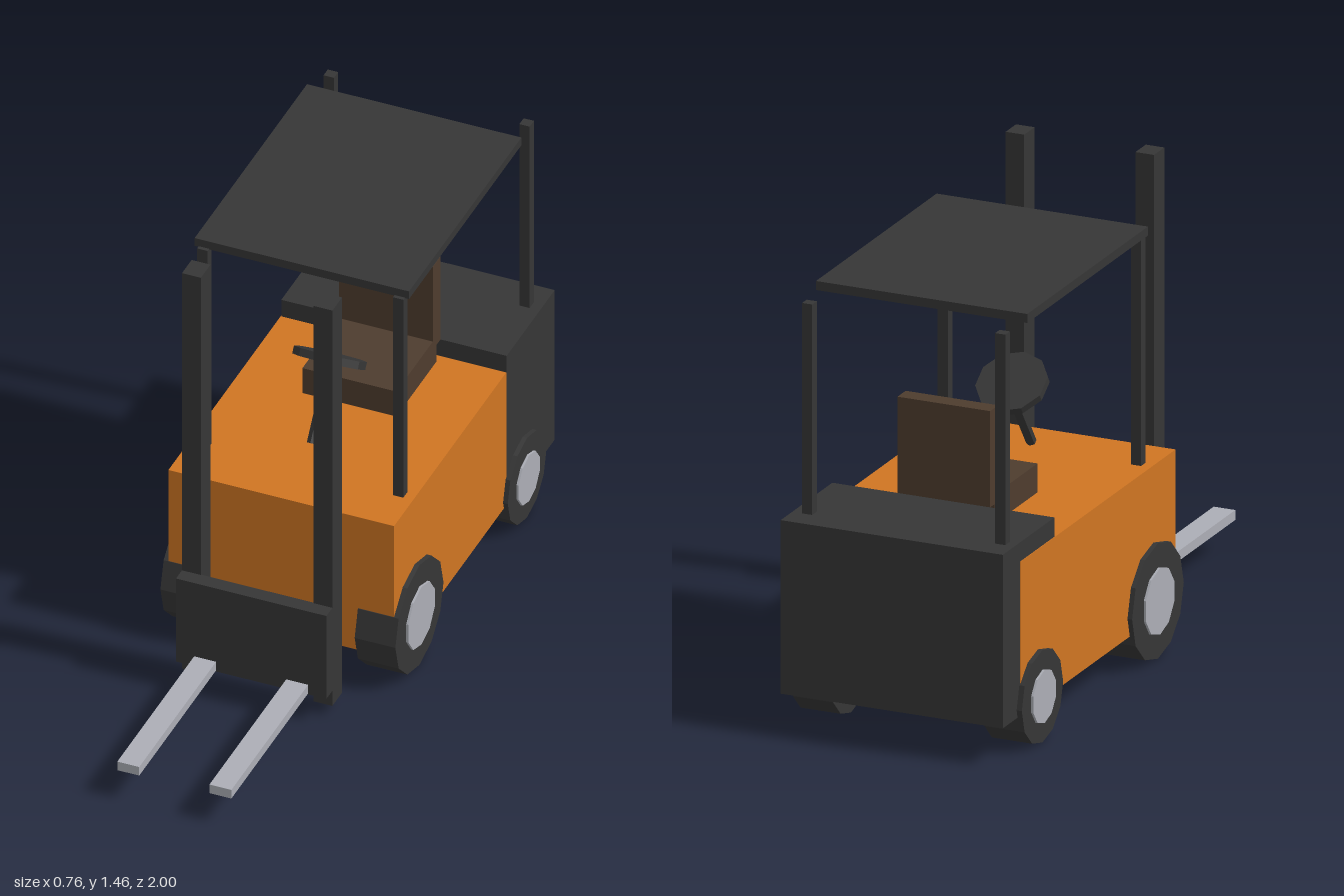
import * as THREE from 'three';

export function createModel() {
  const model = new THREE.Group();
  model.name = 'forklift';

  const mat = (name, color) => {
    const m = new THREE.MeshStandardMaterial({ color, flatShading: true });
    m.name = name;
    return m;
  };
  const orange = mat('orange paint', 0xd07522);
  const dark = mat('dark metal', 0x363636);
  const steel = mat('light steel', 0xacaeb6);
  const brown = mat('brown seat', 0x4e3c2e);

  const add = (name, geometry, material, x = 0, y = 0, z = 0) => {
    const mesh = new THREE.Mesh(geometry, material);
    mesh.name = name;
    mesh.position.set(x, y, z);
    model.add(mesh);
    return mesh;
  };

  // Box given by its limits on each axis
  const box = (name, material, [x0, x1], [y0, y1], [z0, z1]) =>
    add(name, new THREE.BoxGeometry(x1 - x0, y1 - y0, z1 - z0), material,
      (x0 + x1) / 2, (y0 + y1) / 2, (z0 + z1) / 2);

  // Chassis and counterweight (nudged so that their faces do not coincide)
  box('body', orange, [-0.36, 0.36], [0.12, 0.6], [-0.88, 0.2]);
  box('counterweight', dark, [-0.358, 0.361], [0.119, 0.66], [-1, -0.64]);

  // Seat
  box('seatCushion', brown, [-0.15, 0.15], [0.6, 0.69], [-0.61, -0.31]);
  box('seatBack', brown, [-0.15, 0.15], [0.66, 0.96], [-0.64, -0.583]);

  // Overhead guard
  box('roof', dark, [-0.342, 0.342], [1.314, 1.342], [-0.795, 0.046]);

  // Carriage plate between the masts
  box('carriage', dark, [-0.24, 0.24], [0.09, 0.39], [0.378, 0.425]);

  // Steering column and wheel
  const tilt = -0.61;
  const column = add('steeringColumn', new THREE.CylinderGeometry(0.016, 0.016, 0.26, 6),
    dark, 0, 0.752, -0.105);
  column.rotation.x = tilt;
  const steering = add('steeringWheel', new THREE.CylinderGeometry(0.11, 0.11, 0.024, 10),
    dark, 0, 0.868, -0.162);
  steering.rotation.x = tilt;

  // Tyre with a hub standing slightly proud on both sides
  const wheel = (name, x, z, radius, hubRadius) => {
    const tyre = add(name + 'Tyre', new THREE.CylinderGeometry(radius, radius, 0.13, 12),
      dark, x, radius, z);
    const hub = add(name + 'Hub',
      new THREE.CylinderGeometry(hubRadius, hubRadius, 0.144, 10, 1, false, Math.PI / 2),
      steel, x, radius, z);
    tyre.rotation.z = hub.rotation.z = Math.PI / 2;
  };

  // Mirrored parts
  for (const [side, s] of [['left', 1], ['right', -1]]) {
    const span = (a, b) => (s > 0 ? [a, b] : [-b, -a]);
    box(side + 'Mast', dark, span(0.18, 0.24), [0.035, 1.465], [0.308, 0.38]);
    box(side + 'Fork', steel, span(0.112, 0.182), [0.094, 0.125], [0.42, 1]);
    box(side + 'FrontPost', dark, span(0.296, 0.329), [0.6, 1.316], [0.026, 0.058]);
    box(side + 'RearPost', dark, span(0.296, 0.329), [0.65, 1.316], [-0.92, -0.888]);
    wheel(side + 'Front', s * 0.31, 0.045, 0.18, 0.104);
    wheel(side + 'Rear', s * 0.31, -0.76, 0.144, 0.083);
  }

  return model;
}
